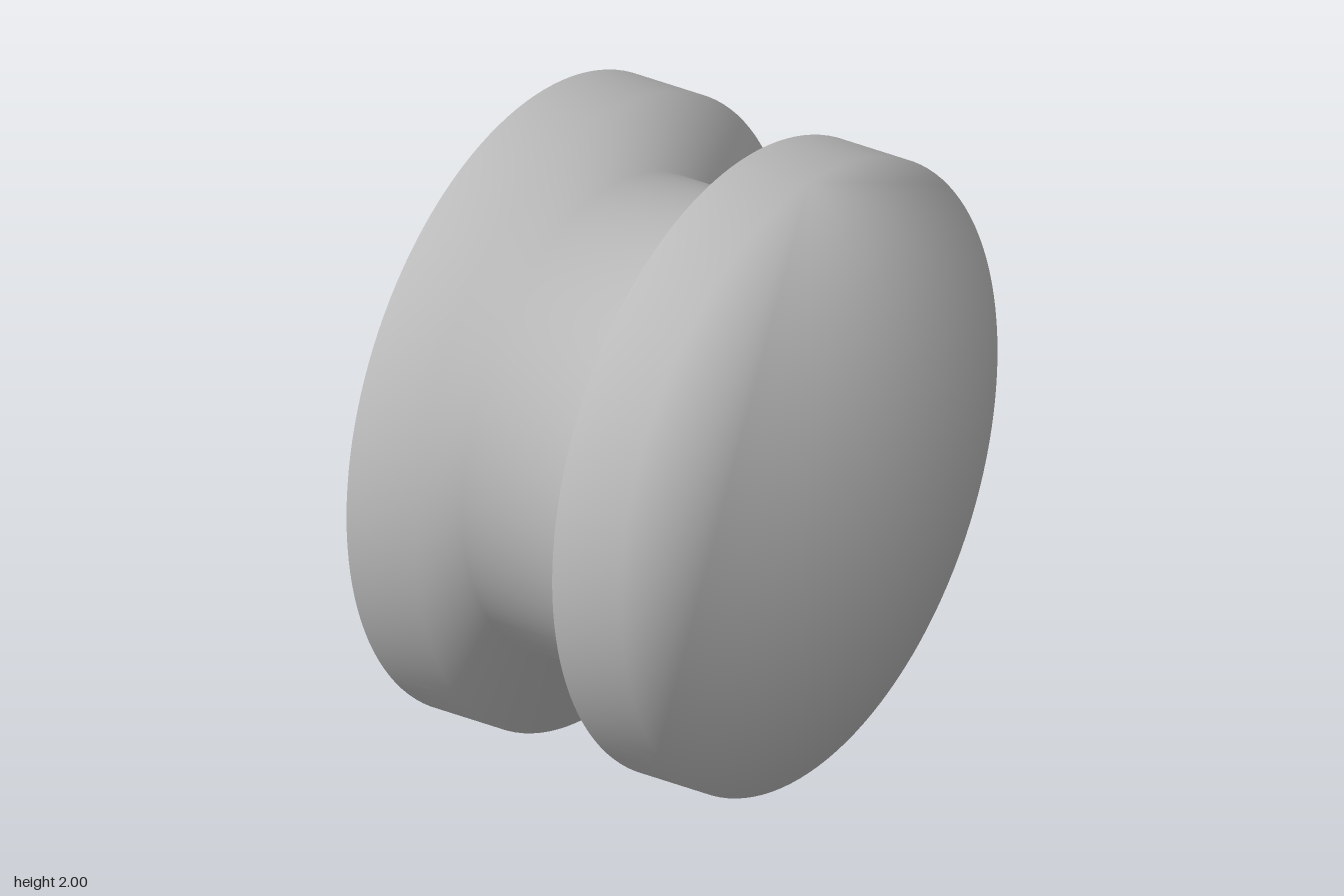
import * as THREE from 'three';

const SEGMENTS = 128;

// Rings along the x axis: position, radius, and which way the soft edge normal leans
const RINGS = [
  { x: -0.5, r: 1, lean: -1 },
  { x: -0.25, r: 1, lean: 1 },
  { x: -0.25, r: 0.75, lean: 1 },
  { x: 0.25, r: 0.75, lean: -1 },
  { x: 0.25, r: 1, lean: -1 },
  { x: 0.5, r: 1, lean: 1 },
];

// One continuous smooth-shaded body: flange, hub, flange, with flat end discs
function spoolGeometry() {
  const positions = [], normals = [], indices = [];
  for (const { x, r, lean } of RINGS) {
    for (let i = 0; i < SEGMENTS; i++) {
      const a = (i / SEGMENTS) * Math.PI * 2;
      const c = Math.cos(a), s = Math.sin(a);
      positions.push(x, r * c, r * s);
      normals.push(lean * Math.SQRT1_2, c * Math.SQRT1_2, s * Math.SQRT1_2);
    }
  }

  // Walls between neighbouring rings
  for (let k = 0; k < RINGS.length - 1; k++) {
    for (let i = 0; i < SEGMENTS; i++) {
      const j = (i + 1) % SEGMENTS;
      const a = k * SEGMENTS + i, b = k * SEGMENTS + j;
      const c = a + SEGMENTS, d = b + SEGMENTS;
      indices.push(a, b, c, b, d, c);
    }
  }

  // End discs, fanned from the rim so the rim normals blend across the face
  const last = (RINGS.length - 1) * SEGMENTS;
  for (let i = 1; i < SEGMENTS - 1; i++) {
    indices.push(0, i + 1, i);
    indices.push(last, last + i, last + i + 1);
  }

  const geometry = new THREE.BufferGeometry();
  geometry.setAttribute('position', new THREE.Float32BufferAttribute(positions, 3));
  geometry.setAttribute('normal', new THREE.Float32BufferAttribute(normals, 3));
  geometry.setIndex(indices);
  return geometry;
}

export function createModel() {
  const group = new THREE.Group();
  group.name = 'spool';
  const body = new THREE.Mesh(
    spoolGeometry(),
    new THREE.MeshStandardMaterial({ color: 0xcccccc })
  );
  body.name = 'spoolBody';
  body.position.y = 1;
  group.add(body);
  return group;
}
